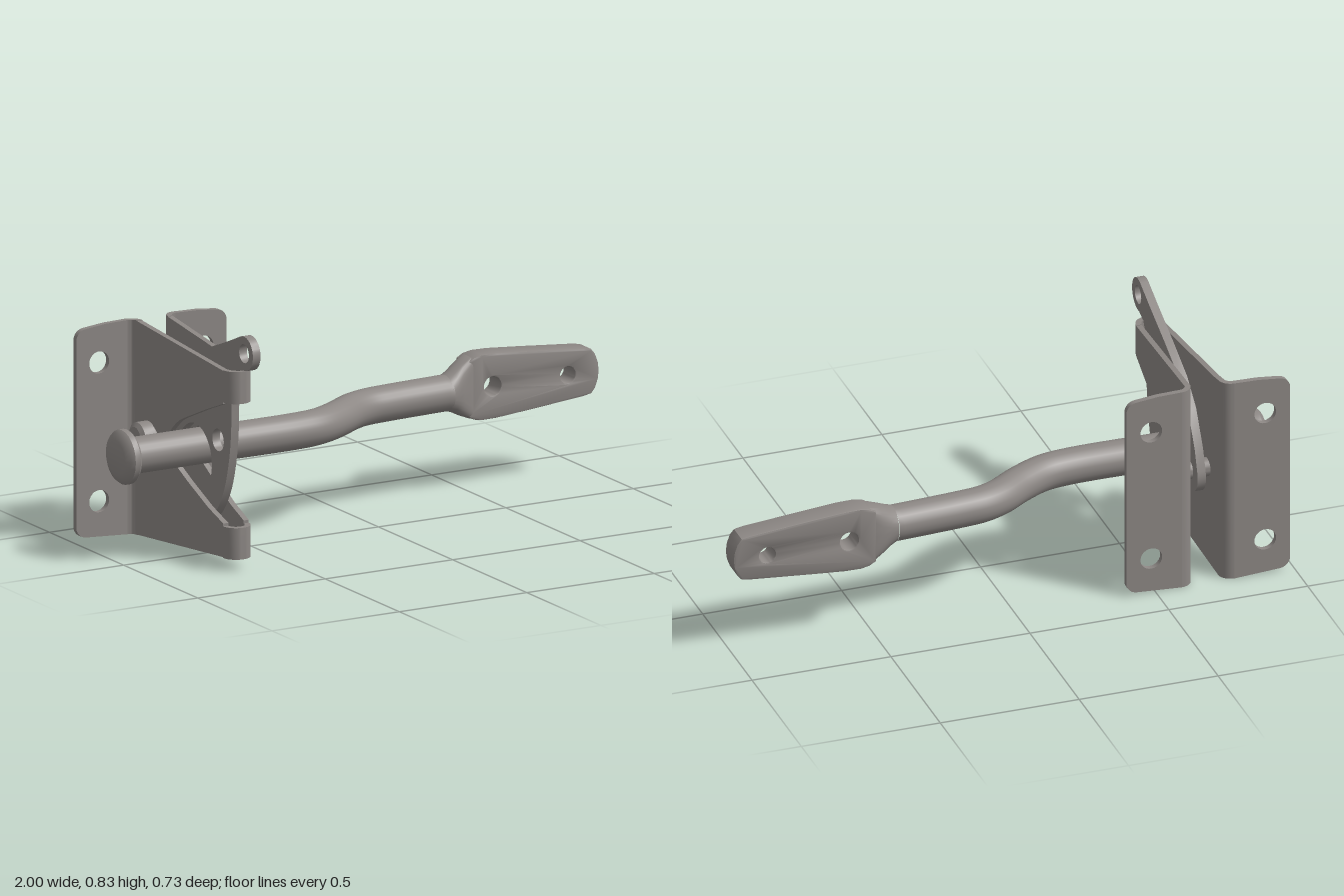
import * as THREE from 'three';
import { toCreasedNormals } from 'three/addons/utils/BufferGeometryUtils.js';

const steel = new THREE.MeshStandardMaterial({ color: 0x8c8784 });
steel.name = 'steel grey';

const CX = -0.69;      // centre plane of the bracket
const T = 0.02;        // sheet thickness
const RAD = Math.PI / 180;

const v2 = (x, y) => new THREE.Vector2(x, y);

// Points along an arc, angles in degrees
function arc(cx, cy, r, a0, a1, n = 10) {
  const pts = [];
  for (let i = 0; i <= n; i++) {
    const a = (a0 + (a1 - a0) * i / n) * RAD;
    pts.push(v2(cx + r * Math.cos(a), cy + r * Math.sin(a)));
  }
  return pts;
}

// Smooth run of points through a few guides
const smooth = (guides, n) => new THREE.SplineCurve(guides.map(p => v2(...p))).getPoints(n);

// Extrude an outline with round holes [x, y, r]
function extrude(points, holes, depth, bevel = 0) {
  const shape = new THREE.Shape(points);
  for (const [x, y, r] of holes) shape.holes.push(new THREE.Path(arc(x, y, r, 0, 345, 23)));
  return new THREE.ExtrudeGeometry(shape, {
    depth: depth - 2 * bevel, bevelEnabled: bevel > 0, bevelSize: bevel,
    bevelThickness: bevel, bevelOffset: -bevel, bevelSegments: 2,
  });
}

// Outline drawn in (z, y), thickness centred on x = 0
const sideExtrude = (points, holes, t) => extrude(points, holes, t).rotateY(-Math.PI / 2).translate(t / 2, 0, 0);

// Outline drawn in (x, z), rising from y0 to y1
const planExtrude = (points, y0, y1) => extrude(points, [], y1 - y0).rotateX(Math.PI / 2).translate(0, y1, 0);

// Turned part with its axis along x; profile is [radius, x]
const turned = (profile, y, z, n) =>
  new THREE.LatheGeometry(profile.map(p => v2(...p)), n).rotateZ(-Math.PI / 2).translate(0, y, z);

function add(parent, name, geometry, crease = 0.6) {
  const mesh = new THREE.Mesh(toCreasedNormals(geometry, crease), steel);
  mesh.name = name;
  parent.add(mesh);
  return mesh;
}

function buildBracket() {
  const g = new THREE.Group();
  g.name = 'bracket';
  g.position.x = CX;
  const notch = [
    v2(0.225, 0.165), v2(0.13, 0.2), v2(0, 0.262),
    ...smooth([[-0.09, 0.31], [-0.125, 0.34], [-0.132, 0.37], [-0.115, 0.41], [-0.06, 0.46], [0, 0.49]], 16),
    v2(0.12, 0.543), v2(0.225, 0.585),
  ];
  const cheek = [v2(0.225, 0.701), v2(-0.32, 0.752), v2(-0.32, 0.003), v2(0.225, 0.047), ...notch];

  for (const s of [1, -1]) {
    const side = s > 0 ? 'left' : 'right';

    // Notched side plate, leaning in towards the front
    const plate = sideExtrude(cheek, [], T);
    const p = plate.attributes.position;
    for (let i = 0; i < p.count; i++) {
      const f = (p.getZ(i) + 0.32) / 0.545;
      p.setX(i, p.getX(i) + s * (0.06 - 0.02 * f));
    }
    add(g, side + 'SidePlate', plate);

    // Rounded fold between side plate and flange
    const fold = [...arc(0.095, -0.32, 0.025, 180, 270, 6), ...arc(0.095, -0.32, 0.045, 270, 180, 6)];
    add(g, side + 'Fold', planExtrude(fold.map(q => v2(s * q.x, q.y)), 0.002, 0.754));

    // Mounting flange with two screw holes
    const flange = [
      v2(0.095, 0.002), ...arc(0.255, 0.052, 0.04, -90, 0, 6),
      ...arc(0.255, 0.704, 0.04, 0, 85, 6), v2(0.18, 0.752), v2(0.095, 0.754),
    ];
    add(g, side + 'Flange', extrude(flange.map(q => v2(s * q.x, q.y)),
      [[s * 0.205, 0.62, 0.039], [s * 0.205, 0.133, 0.039]], T).translate(0, 0, -0.365));
  }

  // Front loops joining the side plates above and below the notch
  const loop = [...arc(0, 0.225, 0.05, 0, 180, 18), ...arc(0, 0.225, 0.03, 180, 0, 18)];
  add(g, 'upperFrontLoop', planExtrude(loop, 0.59, 0.703));
  add(g, 'lowerFrontLoop', planExtrude(loop, 0.044, 0.155));
  return g;
}

function buildLatch() {
  const g = new THREE.Group();
  g.name = 'latch';
  g.position.x = CX;

  // Hooked swinging plate with a lifting arm
  const outline = [
    ...arc(0.305, 0.775, 0.06, 112, -100, 22),
    ...smooth([[0.25, 0.7], [0.231, 0.66], [0.222, 0.585], [0.218, 0.48], [0.205, 0.38],
      [0.175, 0.275], [0.13, 0.195], [0.09, 0.157], [0.062, 0.165], [0.058, 0.22], [0.083, 0.295],
      [0.087, 0.35], [0.07, 0.4], [0.03, 0.44], [-0.02, 0.455], [-0.07, 0.445], [-0.115, 0.41],
      [-0.132, 0.36], [-0.145, 0.32]], 60),
    ...arc(-0.225, 0.37, 0.075, -50, -200, 14),
    v2(-0.27, 0.47), v2(-0.2, 0.59), v2(-0.11, 0.665), v2(0.03, 0.727), v2(0.2, 0.795),
  ];
  add(g, 'latchPlate', sideExtrude(outline, [[0.305, 0.775, 0.033], [0.13, 0.432, 0.039]], 0.03));

  // Pivot rivet with a collar at one end
  add(g, 'pivotRivet', turned([[0, -0.137], [0.042, -0.137], [0.057, -0.126], [0.057, -0.083],
    [0.036, -0.08], [0.033, -0.07], [0.033, 0.074], [0.046, 0.075], [0.046, 0.082],
    [0.034, 0.092], [0, 0.092]], 0.37, -0.222, 24));
  return g;
}

// Loft of rounded sections along x: [x, z, half height, half depth, squareness]
function loft(sections, y, n = 32) {
  const pos = [], idx = [];
  const pw = (c, e) => Math.sign(c) * Math.pow(Math.abs(c), 2 / e);
  sections.forEach(([x, z, h, d, e], k) => {
    for (let i = 0; i < n; i++) {
      const a = i / n * Math.PI * 2, j = (i + 1) % n;
      pos.push(x, y + h * pw(Math.cos(a), e), z + d * pw(Math.sin(a), e));
      if (k > 0) {
        const A = (k - 1) * n + i, B = (k - 1) * n + j, C = k * n + i, D = k * n + j;
        idx.push(A, B, C, B, D, C);
      }
    }
  });
  const geo = new THREE.BufferGeometry();
  geo.setAttribute('position', new THREE.Float32BufferAttribute(pos, 3));
  geo.setIndex(idx);
  return geo;
}

function buildStrikeBar() {
  const g = new THREE.Group();
  g.name = 'strikeBar';
  const Y = 0.365;

  // Cranked round bar
  const path = new THREE.CatmullRomCurve3([
    [-0.95, -0.055], [-0.6, -0.055], [-0.3, -0.055], [-0.2, -0.07], [-0.1, -0.118],
    [0, -0.183], [0.07, -0.21], [0.16, -0.221], [0.4, -0.236],
  ].map(([x, z]) => new THREE.Vector3(x, Y, z)));
  add(g, 'roundBar', new THREE.TubeGeometry(path, 70, 0.063, 24));

  // Button head
  add(g, 'barHead', turned([[0, -1], [0.06, -0.998], [0.085, -0.988], [0.095, -0.975],
    [0.095, -0.955], [0.085, -0.945], [0, -0.945]], Y, -0.055, 24));

  // Neck flattening from round to rectangular
  add(g, 'neck', loft([[0.398, -0.236, 0.063, 0.063, 2], [0.425, -0.243, 0.073, 0.06, 2.4],
    [0.46, -0.257, 0.091, 0.052, 3.2], [0.5, -0.268, 0.107, 0.043, 6],
    [0.515, -0.27, 0.108, 0.038, 12]], Y), 0.8);

  // Flat mounting paddle with two screw holes
  const half = [[0.485, 0.095], [0.51, 0.109], [0.54, 0.115], [0.6, 0.114], [0.72, 0.104],
    [0.94, 0.084], [0.97, 0.078], [0.985, 0.06], [0.996, 0.03]];
  const outline = [
    ...half.map(([x, h]) => v2(x, Y - h)), v2(1, Y),
    ...half.slice().reverse().map(([x, h]) => v2(x, Y + h)),
  ];
  add(g, 'paddle', extrude(outline, [[0.582, Y, 0.033], [0.877, Y, 0.029]], 0.084, 0.006)
    .translate(0, 0, -0.306));
  return g;
}

export function createModel() {
  const model = new THREE.Group();
  model.name = 'gateLatch';
  model.add(buildBracket(), buildLatch(), buildStrikeBar());
  return model;
}
